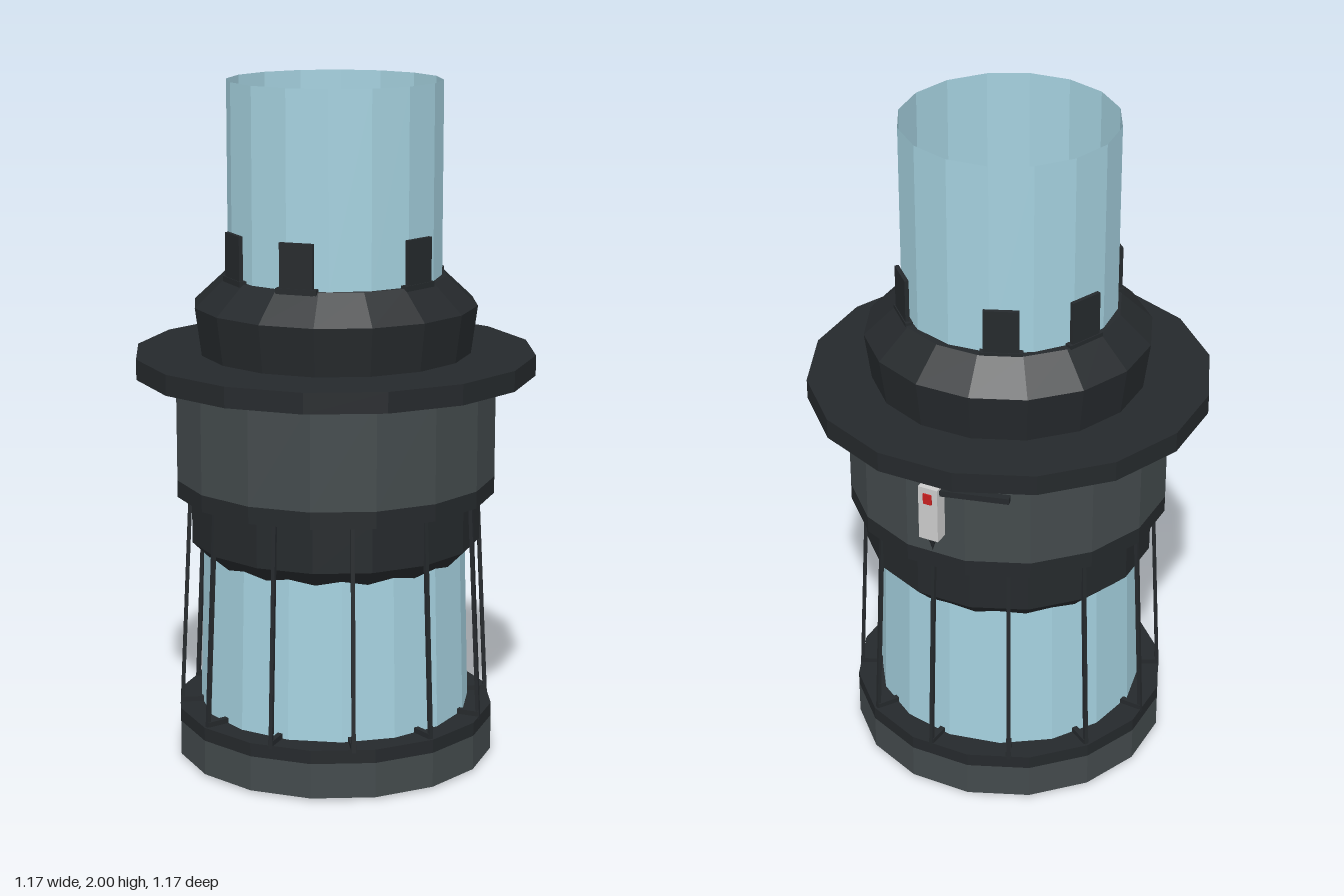
import * as THREE from 'three';

const mat = (color, side = THREE.FrontSide) =>
  new THREE.MeshStandardMaterial({ color, side, flatShading: true });
const DARK = mat(0x25292c), SHELL = mat(0x434a4c), STEEL = mat(0x666666);
const GREY = mat(0xcccccc), RED = mat(0xc82020), GLASS = mat(0xa4d0de, THREE.DoubleSide);
const SIDES = 16;

export function createModel() {
  const model = new THREE.Group();

  const add = (name, geometry, material, x = 0, y = 0, z = 0, parent = model) => {
    const mesh = new THREE.Mesh(geometry, material);
    mesh.name = name;
    mesh.position.set(x, y, z);
    parent.add(mesh);
    return mesh;
  };
  // Faceted ring section between two heights
  const drum = (name, rBottom, rTop, y0, y1, material, open = false, sides = SIDES) =>
    add(name, new THREE.CylinderGeometry(rTop, rBottom, y1 - y0, sides, 1, open), material, 0, (y0 + y1) / 2, 0);
  // Group turned about the vertical axis, so its +z points outward at the given angle
  const spoke = (name, degrees) => {
    const g = new THREE.Group();
    g.name = name;
    g.rotation.y = THREE.MathUtils.degToRad(degrees);
    model.add(g);
    return g;
  };

  // Base with its underside plate and screw
  drum('base', 0.472, 0.472, 0.006, 0.11, SHELL);
  drum('baseRim', 0.472, 0.472, 0.11, 0.15, DARK);
  drum('bottomPlate', 0.285, 0.285, 0.003, 0.02, STEEL);
  drum('bottomScrew', 0.03, 0.03, 0.001, 0.02, GREY, false, 12);
  add('screwSlot', new THREE.BoxGeometry(0.012, 0.01, 0.05), DARK, 0, 0.005, 0);

  // Lower glass
  const lowerGlass = drum('lowerGlass', 0.402, 0.388, 0.14, 0.63, GLASS, true);
  lowerGlass.rotation.y = Math.PI / SIDES;

  // Collar under the drum
  drum('lowerCollarTaper', 0.38, 0.43, 0.61, 0.66, DARK);
  drum('lowerCollar', 0.43, 0.43, 0.66, 0.8, DARK);

  // Main drum and flange
  drum('drumBand', 0.472, 0.472, 0.8, 0.85, DARK);
  drum('mainDrum', 0.472, 0.472, 0.85, 1.155, SHELL);
  drum('flange', 0.587, 0.587, 1.155, 1.215, DARK);

  // Upper collar, set slightly off centre
  for (const part of [
    drum('upperCollar', 0.397, 0.416, 1.215, 1.355, DARK),
    drum('upperCollarSlope', 0.416, 0.325, 1.355, 1.44, DARK),
  ]) {
    part.position.x = 0.005;
    part.position.z = -0.004;
  }

  // Open upper glass
  const upperGlass = drum('upperGlass', 0.311, 0.311, 1.43, 2, GLASS, true);
  upperGlass.rotation.y = THREE.MathUtils.degToRad(5);

  // Clips holding the upper glass, one per chosen facet
  for (const facet of [0, 3, 6, 8, 11, 13]) {
    const g = spoke('glassClip', (facet + 0.5) * 360 / SIDES);
    add('clipPlate', new THREE.BoxGeometry(0.1, 0.145, 0.012), DARK, 0, 1.503, 0.317, g);
    add('clipFoot', new THREE.BoxGeometry(0.12, 0.016, 0.022), DARK, 0, 1.44, 0.315, g);
  }

  // Guard rods leaning inward, each on a radial foot
  const low = 0.14, high = 0.82, rLow = 0.46, rHigh = 0.426;
  for (let i = 0; i < 12; i++) {
    const g = spoke('guardRod', i * 30);
    const rod = add('rod', new THREE.BoxGeometry(0.011, Math.hypot(high - low, rLow - rHigh), 0.011),
      DARK, 0, (low + high) / 2, (rLow + rHigh) / 2, g);
    rod.rotation.x = -Math.atan2(rLow - rHigh, high - low);
    add('rodFoot', new THREE.BoxGeometry(0.016, 0.016, 0.08), DARK, 0, 0.157, 0.422, g);
  }

  // Control box on the drum
  const box = spoke('controlBox', 123.75);
  add('boxBody', new THREE.BoxGeometry(0.06, 0.17, 0.045), GREY, 0, 1.005, 0.483, box);
  add('redButton', new THREE.BoxGeometry(0.026, 0.032, 0.006), RED, 0, 1.056, 0.507, box);
  const tip = add('boxTip', new THREE.ConeGeometry(0.014, 0.05, 6), DARK, 0, 0.895, 0.482, box);
  tip.rotation.x = Math.PI;

  // Handle bar running from the box along the drum
  const bar = spoke('handleBar', 138);
  add('bar', new THREE.BoxGeometry(0.21, 0.018, 0.022), DARK, 0, 1.075, 0.474, bar);

  return model;
}
